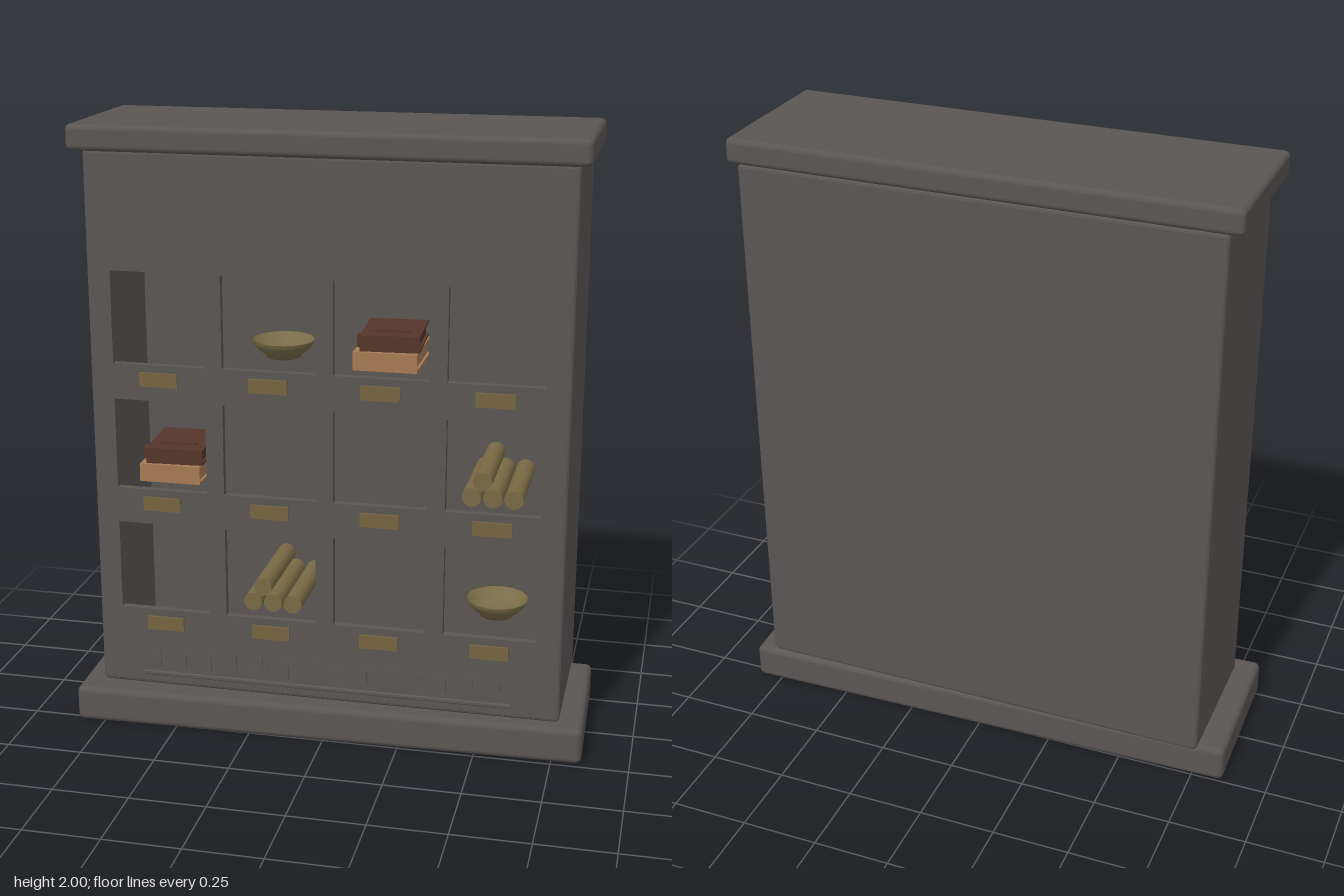
import * as THREE from 'three';
import { RoundedBoxGeometry } from 'three/addons/geometries/RoundedBoxGeometry.js';

const mat = (name, color) => Object.assign(new THREE.MeshStandardMaterial({ color }), { name });

export function createModel() {
  const root = new THREE.Group();
  root.name = 'cabinet';
  const stone = mat('dark stone', 0x5a5654);
  const brass = mat('aged brass', 0x75643f);
  const parchment = mat('parchment', 0x7a6a45);
  const bowlMat = mat('bowl bronze', 0x7a6d48);
  bowlMat.side = THREE.DoubleSide;
  const leather = mat('brown leather', 0x55352a);
  const tan = mat('tan leather', 0xa87a54);

  const add = (parent, name, geo, material, x = 0, y = 0, z = 0) => {
    const m = new THREE.Mesh(geo, material);
    m.name = name;
    m.position.set(x, y, z);
    parent.add(m);
    return m;
  };
  const box = (w, h, d) => new THREE.BoxGeometry(w, h, d);
  const rectPath = (P, x0, y0, x1, y1) => {
    const p = new P();
    p.moveTo(x0, y0); p.lineTo(x1, y0); p.lineTo(x1, y1); p.lineTo(x0, y1); p.closePath();
    return p;
  };
  const roundedRect = (x0, y0, x1, y1, r) => {
    const s = new THREE.Shape();
    s.moveTo(x0 + r, y0);
    s.lineTo(x1 - r, y0); s.quadraticCurveTo(x1, y0, x1, y0 + r);
    s.lineTo(x1, y1 - r); s.quadraticCurveTo(x1, y1, x1 - r, y1);
    s.lineTo(x0 + r, y1); s.quadraticCurveTo(x0, y1, x0, y1 - r);
    s.lineTo(x0, y0 + r); s.quadraticCurveTo(x0, y0, x0 + r, y0);
    return s;
  };

  // Slightly turned plinth and the cap slab
  add(root, 'plinth', new RoundedBoxGeometry(1.69, 0.12, 0.53, 3, 0.02), stone, -0.003, 0.063, -0.005)
    .rotation.y = 0.0237;
  add(root, 'cap', new RoundedBoxGeometry(1.615, 0.082, 0.53, 3, 0.018), stone, -0.003, 1.959, -0.023);

  // Hollow case: a ring of four walls, closed by a back and a pierced front
  const ring = roundedRect(-0.77, 0.127, 0.77, 1.922, 0.018);
  ring.holes.push(rectPath(THREE.Path, -0.735, 0.16, 0.735, 1.885));
  const b = 0.013;
  add(root, 'caseWalls', new THREE.ExtrudeGeometry(ring, {
    depth: 0.487 - 2 * b, bevelEnabled: true, bevelSize: b, bevelThickness: b,
    bevelOffset: -b, bevelSegments: 3, curveSegments: 4,
  }), stone, 0, 0, -0.282 + b);
  add(root, 'backPanel', box(1.5, 1.755, 0.03), stone, 0, 1.0225, -0.267);

  const cols = [-0.542, -0.182, 0.178, 0.538];
  const rows = [0.4, 0.82, 1.24];
  const front = rectPath(THREE.Shape, -0.75, 0.147, 0.75, 1.9);
  for (const y of rows) for (const x of cols)
    front.holes.push(rectPath(THREE.Path, x - 0.151, y, x + 0.151, y + 0.302));
  add(root, 'frontPanel', new THREE.ExtrudeGeometry(front, { depth: 0.025, bevelEnabled: false }),
    stone, 0, 0, 0.18);

  // Name plates under every opening
  for (const y of rows) for (const x of cols)
    add(root, 'namePlate', box(0.125, 0.046, 0.014), brass, x, y - 0.047, 0.206);

  // Raised ledge and row of small decorative pegs
  add(root, 'ledge', new RoundedBoxGeometry(1.24, 0.016, 0.012, 2, 0.005), stone, -0.005, 0.17, 0.206);
  for (let i = 0; i < 14; i++) {
    const peg = new THREE.Group();
    peg.name = 'carvedPeg';
    peg.position.set(-0.57 + i * 0.0877, 0.228, 0.205);
    add(peg, 'stem', box(0.013, 0.066, 0.01), stone);
    const flip = i % 4 === 3 ? -1 : 1;
    if (i % 4 === 0 && i < 5) add(peg, 'crossbar', box(0.05, 0.012, 0.01), stone);
    else add(peg, 'hook', box(0.026, 0.012, 0.01), stone, flip * 0.01, 0.024, 0).rotation.z = -flip * 0.5;
    root.add(peg);
  }

  // Wide footed bowls
  const bowlProfile = [[0, 0], [0.055, 0], [0.058, 0.01], [0.075, 0.02], [0.093, 0.038], [0.105, 0.058],
    [0.099, 0.058], [0.085, 0.038], [0.06, 0.02], [0, 0.014]].map(([x, y]) => new THREE.Vector2(x, y));
  const bowlGeo = new THREE.LatheGeometry(bowlProfile, 28);
  add(root, 'bowl', bowlGeo, bowlMat, cols[1], rows[2], 0.0);
  add(root, 'bowl', bowlGeo, bowlMat, cols[3] - 0.003, rows[0], 0.0);

  // Piles of rolled scrolls
  const scrollGeo = new THREE.CylinderGeometry(0.031, 0.031, 0.33, 16).rotateX(Math.PI / 2);
  const scrolls = [[-0.077, 0.032], [-0.009, 0.032], [0.058, 0.032], [-0.043, 0.086]];
  for (const [cx, cy] of [[cols[3], rows[1]], [cols[1], rows[0]]])
    for (const [dx, dy] of scrolls) add(root, 'scroll', scrollGeo, parchment, cx + dx, cy + dy, -0.02);

  // Stacks of two books: a tan one below a brown one
  const book = (parent, name, w, h, d, cover, pages) => {
    const g = new THREE.Group();
    g.name = name;
    for (const s of [-1, 1]) add(g, 'cover', box(w, 0.008, d), cover, 0, s * (h / 2 - 0.004), 0);
    add(g, 'spine', box(w, h - 0.016, 0.01), cover, 0, 0, d / 2 - 0.005);
    add(g, 'pages', box(w - 0.016, h - 0.016, d - 0.02), pages, 0, 0, -0.004);
    parent.add(g);
    return g;
  };
  for (const [cx, cy] of [[cols[2], rows[2]], [cols[0] + 0.005, rows[1]]]) {
    book(root, 'lowerBook', 0.205, 0.06, 0.25, tan, tan).position.set(cx - 0.001, cy + 0.033, 0.01);
    const upper = book(root, 'upperBook', 0.19, 0.052, 0.235, leather, leather);
    upper.position.set(cx + 0.006, cy + 0.09, 0.005);
    upper.rotation.y = 0.05;
    add(upper, 'clasp', box(0.014, 0.04, 0.03), leather, -0.1, 0.002, 0.08);
    add(upper, 'coverBand', box(0.12, 0.005, 0.02), leather, 0, 0.028, 0.05);
  }
  return root;
}
